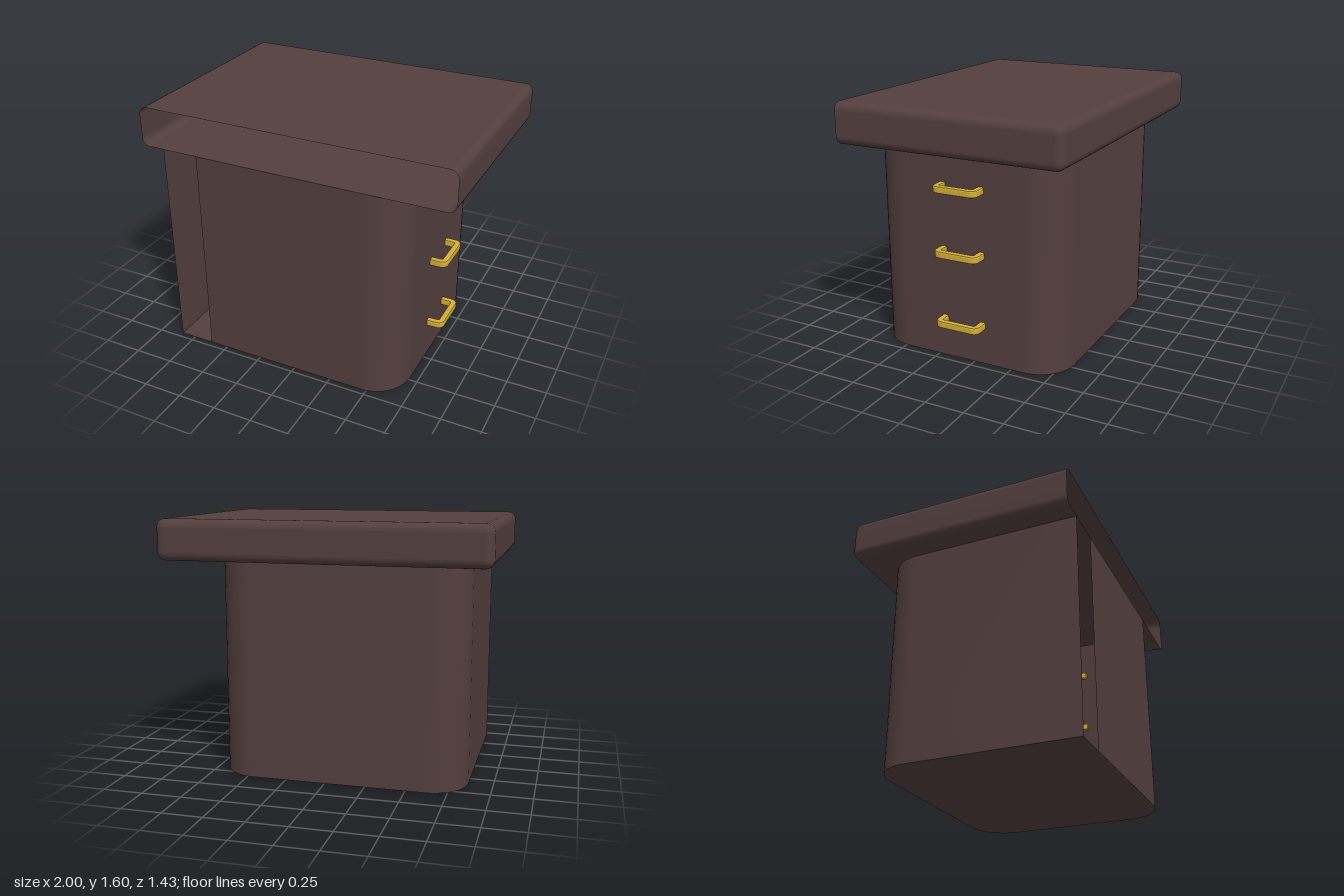
import * as THREE from 'three';

const wood = new THREE.MeshStandardMaterial({ color: 0x533f3e, side: THREE.DoubleSide });
const brass = new THREE.MeshStandardMaterial({ color: 0xd4af37 });

// Quarter-circle of 2D points, counterclockwise from quarter turn q
function quarter(cx, cy, r, q, n = 10) {
  return Array.from({ length: n + 1 }, (_, i) => {
    const a = (q + i / n) * Math.PI / 2;
    return [cx + r * Math.cos(a), cy + r * Math.sin(a)];
  });
}

// Skin through rings of 3D points, with a flat cap on the last ring
function loft(rings, closed) {
  const n = rings[0].length, pos = rings.flat(2), index = [];
  for (let k = 0; k < rings.length - 1; k++) {
    for (let i = 0; i < (closed ? n : n - 1); i++) {
      const a = k * n + i, b = k * n + (i + 1) % n;
      index.push(a, a + n, b, b, a + n, b + n);
    }
  }
  const last = rings[rings.length - 1], base = pos.length / 3;
  pos.push(...last.flat());
  const mid = [0, 1, 2].map((j) => last.reduce((s, p) => s + p[j], 0) / n);
  pos.push(...mid);
  for (let i = 0; i < n; i++) index.push(base + n, base + (i + 1) % n, base + i);
  const g = new THREE.BufferGeometry();
  g.setAttribute('position', new THREE.Float32BufferAttribute(pos, 3));
  g.setIndex(index);
  g.computeVertexNormals();
  return g;
}

function addMesh(parent, name, geometry, material) {
  const mesh = new THREE.Mesh(geometry, material);
  mesh.name = name;
  parent.add(mesh);
  return mesh;
}

// Hollow top slab: open at the front, rounded at the sides and back
function slabGeometry() {
  const R = 0.05, steps = 6;
  const ring = (inset, z) => {
    const r = Math.max(R - inset, 0.0005), x = 1 - R, y = 0.125 - R;
    return [[x, y], [-x, y], [-x, -y], [x, -y]]
      .flatMap(([cx, cy], q) => quarter(cx, cy, r, q, 6))
      .map(([px, py]) => [px, 1.475 + py, z]);
  };
  const rings = [ring(0, 0.713)];
  for (let k = 0; k <= steps; k++) {
    const a = k / steps * Math.PI / 2;
    rings.push(ring(R * (1 - Math.cos(a)), -0.663 - R * Math.sin(a)));
  }
  return loft(rings, true);
}

// Cabinet shell: three rounded corners, with a gap at the front on the -x side
function cabinetGeometry() {
  const r = 0.23;
  const outline = [
    [-0.62, -0.713],
    ...quarter(0.465, -0.713 + r, r, 3),
    ...quarter(0.465, 0.565 - r, r, 0),
    ...quarter(-0.62, 0.565 - r, r, 1),
    [-0.85, -0.713],
  ];
  return loft([1.35, 0].map((y) => outline.map(([x, v]) => [x, y, -v])), false);
}

// U-shaped pull with softened edges; shape x points out, shape y runs along the drawer
function handleGeometry() {
  const h = 0.14, t = 0.022, out = 0.1, c = 0.04, s = new THREE.Shape();
  s.moveTo(-0.01, -h);
  s.lineTo(out - c, -h);
  s.quadraticCurveTo(out, -h, out, -h + c);
  s.lineTo(out, h - c);
  s.quadraticCurveTo(out, h, out - c, h);
  s.lineTo(-0.01, h);
  s.lineTo(-0.01, h - t);
  s.lineTo(out - c, h - t);
  s.quadraticCurveTo(out - t, h - t, out - t, h - c);
  s.lineTo(out - t, -h + c);
  s.quadraticCurveTo(out - t, -h + t, out - c, -h + t);
  s.lineTo(-0.01, -h + t);
  const g = new THREE.ExtrudeGeometry(s, {
    depth: 0.025, bevelEnabled: true, bevelSize: 0.008, bevelThickness: 0.01,
    bevelSegments: 2, curveSegments: 6,
  });
  return g.translate(0, 0, -0.0125).rotateX(-Math.PI / 2);
}

export function createModel() {
  const model = new THREE.Group();
  model.name = 'cabinet';
  addMesh(model, 'topSlab', slabGeometry(), wood);
  addMesh(model, 'cabinetBody', cabinetGeometry(), wood);

  // Three drawer pulls on the +x side
  const pull = handleGeometry();
  [0.25, 0.7, 1.1].forEach((y, i) => {
    addMesh(model, `drawerHandle${i + 1}`, pull, brass).position.set(0.69, y, 0.07);
  });
  return model;
}
